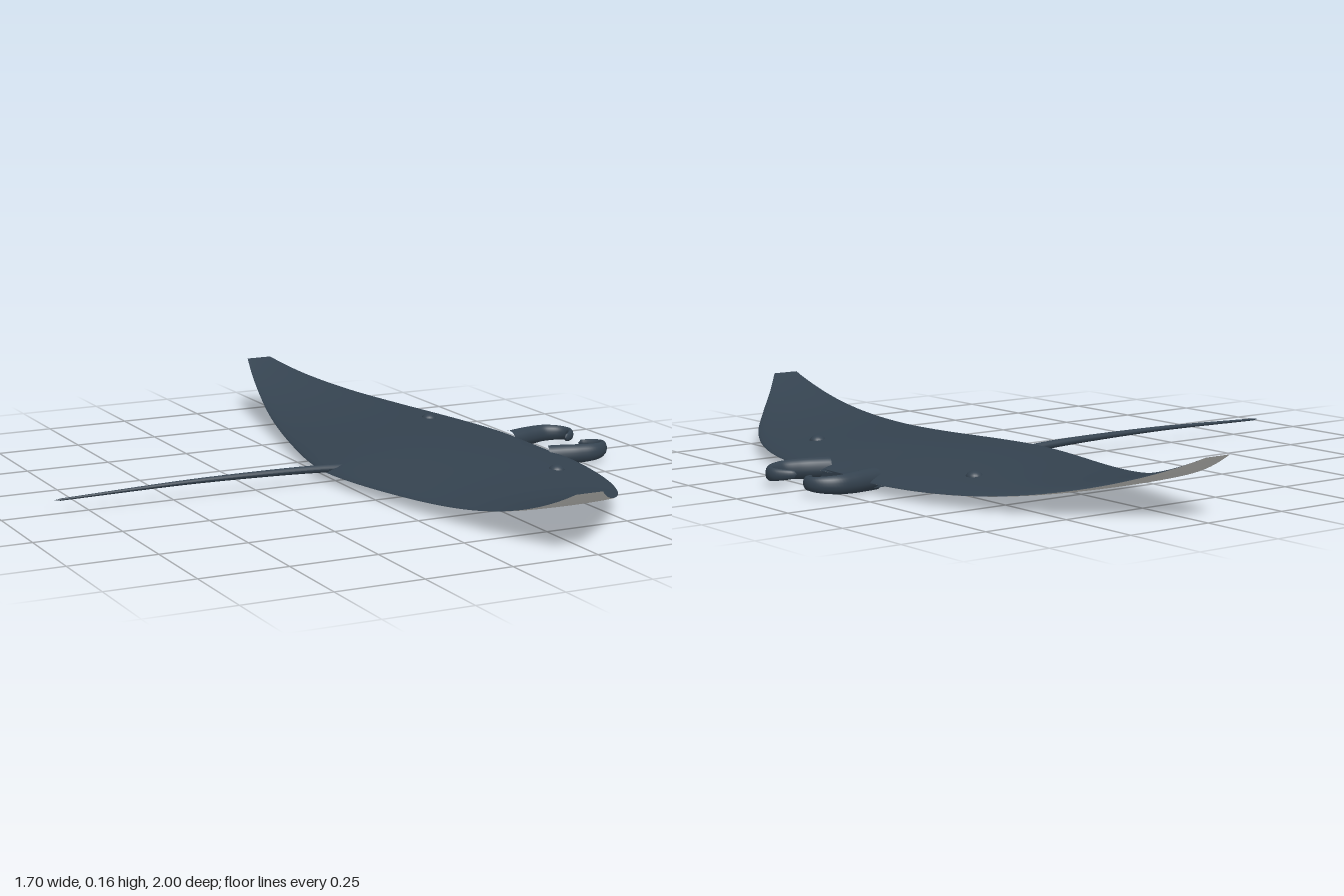
import * as THREE from 'three';

const V = (x, y, z) => new THREE.Vector3(x, y, z);

// Half-span stations: [z, leading edge x, trailing edge x]
const STATIONS = [
  [0, 0.67, -0.03], [0.1, 0.678, -0.022], [0.2, 0.678, -0.005], [0.35, 0.655, 0.028],
  [0.5, 0.61, 0.062], [0.65, 0.535, 0.096], [0.8, 0.425, 0.132], [0.92, 0.325, 0.16], [1, 0.26, 0.18],
];
const mirrored = [...STATIONS.slice(1).reverse().map(([z, l, t]) => [-z, l, t]), ...STATIONS];
const planform = new THREE.CatmullRomCurve3(mirrored.map((s) => V(...s)));

// Height of the upper (side 1) or lower (side -1) skin at chord fraction u
function skinHeight(u, z, side) {
  const rim = 0.027 + 0.138 * z ** 4;
  const swell = Math.pow(Math.max(0, 4 * u * (1 - u)), 0.65) * Math.max(0, 1 - z * z);
  return rim + swell * (side > 0 ? 0.046 : -0.014);
}

function skinHeightAt(x, z, side) {
  let best = null;
  for (let i = 0; i <= 200; i++) {
    const p = planform.getPoint(i / 200);
    if (!best || Math.abs(p.x - z) < Math.abs(best.x - z)) best = p;
  }
  return skinHeight((x - best.z) / (best.y - best.z), z, side);
}

// One skin of the disc, lofted from chordwise sections across the span
function skinGeometry(side) {
  const rows = 96, cols = 36, pos = [], idx = [];
  for (let i = 0; i <= rows; i++) {
    const p = planform.getPoint(i / rows);
    for (let j = 0; j <= cols; j++) {
      const u = (1 - Math.cos((Math.PI * j) / cols)) / 2;
      pos.push(THREE.MathUtils.lerp(p.z, p.y, u), skinHeight(u, p.x, side), p.x);
      if (i < rows && j < cols) {
        const a = i * (cols + 1) + j, b = a + cols + 1;
        if (side > 0) idx.push(a, b, a + 1, b, b + 1, a + 1);
        else idx.push(a, a + 1, b, b, a + 1, b + 1);
      }
    }
  }
  const g = new THREE.BufferGeometry();
  g.setAttribute('position', new THREE.Float32BufferAttribute(pos, 3));
  g.setIndex(idx);
  g.computeVertexNormals();
  return g;
}

// Tube whose width and height change along its length
function taperedTube(points, segments, width, height) {
  const curve = new THREE.CatmullRomCurve3(points);
  const g = new THREE.TubeGeometry(curve, segments, 1, 14, false);
  const pos = g.attributes.position, v = V(0, 0, 0);
  for (let i = 0; i < pos.count; i++) {
    const t = Math.floor(i / 15) / segments;
    const c = curve.getPointAt(t);
    v.fromBufferAttribute(pos, i).sub(c);
    const w = width(t), h = height(t);
    pos.setXYZ(i, c.x + v.x * w, c.y + v.y * h, c.z + v.z * w);
  }
  g.computeVertexNormals();
  return g;
}

export function createModel() {
  const model = new THREE.Group();
  const mat = (name, color) => Object.assign(new THREE.MeshStandardMaterial({ color }), { name });
  const back = mat('slate blue', 0x34424f);
  const belly = mat('pale grey', 0xd8d8d4);
  const dark = mat('dark slate', 0x1d2630);
  back.color.set(0x34424f);

  const add = (name, geometry, material, parent = model) => {
    const mesh = new THREE.Mesh(geometry, material);
    mesh.name = name;
    parent.add(mesh);
    return mesh;
  };

  // Disc
  add('backSkin', skinGeometry(1), back);
  add('bellySkin', skinGeometry(-1), belly);

  // Tail
  const tailRadius = (t) => (t === 1 ? 0 : 0.0125 * (1 - t) + 0.003 * t);
  add('tail', taperedTube(
    [V(0.08, 0.027, 0), V(0, 0.037, 0), V(-0.4, 0.046, 0), V(-0.85, 0.038, 0)],
    48, tailRadius, tailRadius), back);

  // Mouth
  const mouth = add('mouth', new THREE.BoxGeometry(0.095, 0.022, 0.27), back);
  mouth.position.set(0.625, 0.021, 0);

  for (const side of [1, -1]) {
    const prefix = side > 0 ? 'left' : 'right';
    const sideGroup = new THREE.Group();
    sideGroup.name = prefix + 'Details';
    model.add(sideGroup);

    // Curled head fin
    const finPath = [[0.64, 0.11], [0.68, 0.122], [0.73, 0.136], [0.78, 0.141],
      [0.822, 0.119], [0.836, 0.088], [0.815, 0.055], [0.79, 0.037]]
      .map(([x, z], i) => V(x, 0.03 + 0.001 * i, z * side));
    add(prefix + 'HeadFin', taperedTube(finPath, 40,
      (t) => (t === 1 ? 0 : 0.026 - 0.021 * t * t ** 0.3),
      (t) => (t === 1 ? 0 : 0.03 - 0.02 * t * t)), back, sideGroup);

    // Eye
    const eye = add(prefix + 'Eye', new THREE.SphereGeometry(0.023, 20, 14), back, sideGroup);
    eye.position.set(0.507, skinHeightAt(0.507, 0.375, 1) - 0.005, 0.375 * side);
    eye.scale.y = 0.75;

    // Gill slits
    for (let i = 0; i < 5; i++) {
      const z = 0.2 + i * 0.037;
      const gill = add(prefix + 'GillSlit', new THREE.BoxGeometry(0.008, 0.006, 0.02), dark, sideGroup);
      gill.position.set(0.19, skinHeightAt(0.19, z, -1), z * side);
    }
  }
  return model;
}
